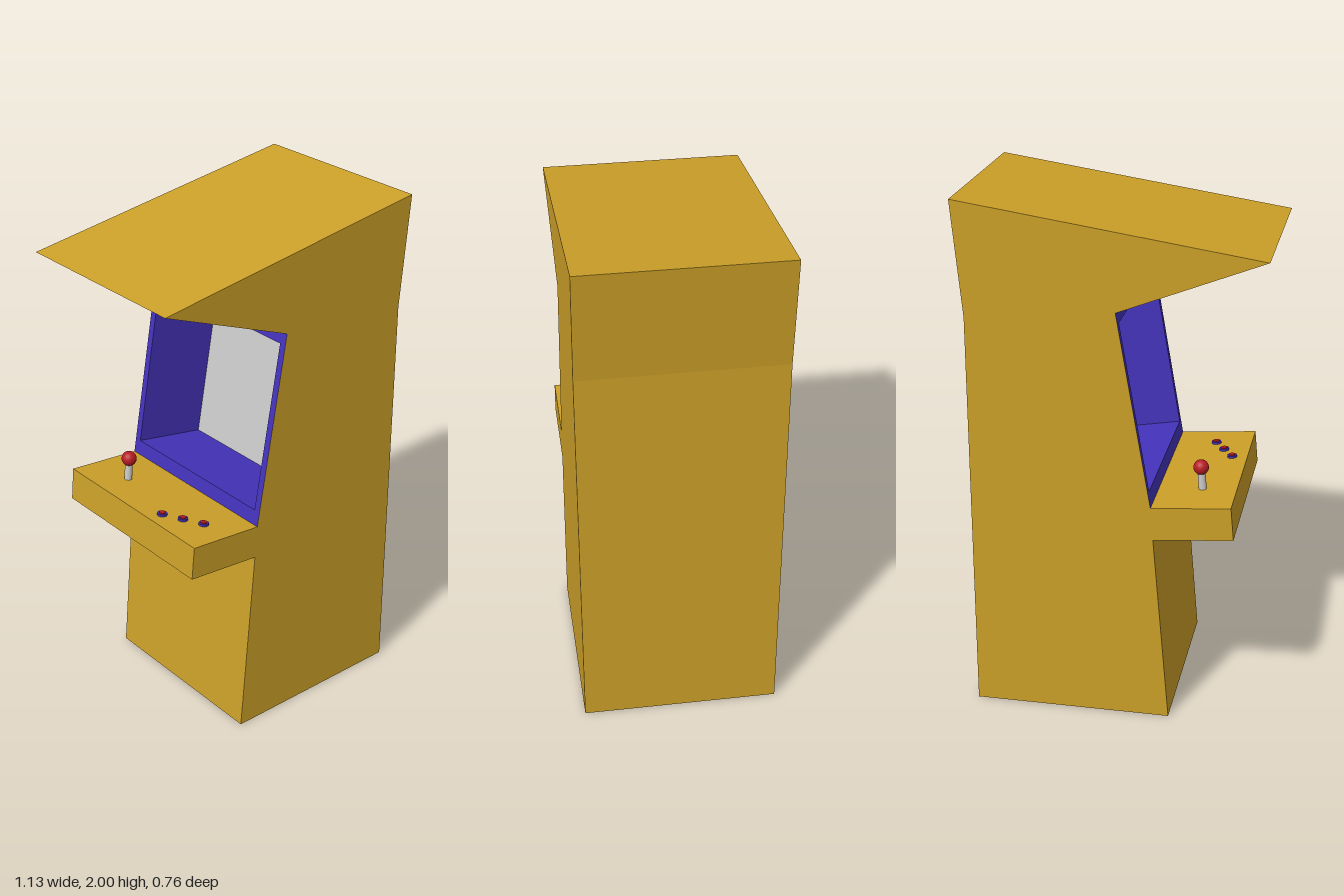
import * as THREE from 'three';

const HALF = 0.378; // half the cabinet's width along z
const material = (color) => new THREE.MeshStandardMaterial({ color, side: THREE.DoubleSide });
const ochre = material(0xcca028);
const violet = material(0x4433bb);
const grey = material(0xcccccc);
const red = material(0xb81c24);

// Side outline, from the top of the monitor face round to its bottom
const outline = [
  [-0.027, 1.62], [-0.565, 1.832], [0.565, 2], [0.526, 1.57], [0.526, 0], [-0.23, 0],
  [-0.166, 0.748], [-0.465, 0.774], [-0.453, 0.902], [-0.156, 0.877],
].map(([x, y]) => new THREE.Vector2(x, y));

function add(parent, name, geometry, mat, position = [0, 0, 0], rotation = [0, 0, 0]) {
  const mesh = new THREE.Mesh(geometry, mat);
  mesh.name = name;
  mesh.position.set(...position);
  mesh.rotation.set(...rotation);
  parent.add(mesh);
  return mesh;
}

// Flat panels running across the cabinet along an open outline
function wrap(points) {
  const pos = [];
  for (let i = 0; i < points.length - 1; i++) {
    const a = points[i], b = points[i + 1];
    const quad = [[a, -HALF], [a, HALF], [b, HALF], [a, -HALF], [b, HALF], [b, -HALF]];
    for (const [p, z] of quad) pos.push(p.x, p.y, z);
  }
  const geometry = new THREE.BufferGeometry();
  geometry.setAttribute('position', new THREE.Float32BufferAttribute(pos, 3));
  geometry.computeVertexNormals();
  return geometry;
}

function rectangle(PathType, x0, y0, x1, y1) {
  return new PathType([[x0, y0], [x0, y1], [x1, y1], [x1, y0]].map((p) => new THREE.Vector2(...p)));
}

export function createModel() {
  const model = new THREE.Group();
  model.name = 'arcadeCabinet';

  // Cabinet shell
  // Reverse the winding so that the panels face outwards
  add(model, 'shell', wrap([...outline].reverse()), ochre);
  const side = new THREE.ShapeGeometry(new THREE.Shape(outline));
  add(model, 'sidePanelFront', side, ochre, [0, 0, HALF]);
  const farSide = side.clone().scale(1, 1, -1);
  const index = farSide.index.array.slice().reverse();
  farSide.setIndex([...index]);
  farSide.computeVertexNormals();
  add(model, 'sidePanelBack', farSide, ochre, [0, 0, -HALF]);

  // Monitor bay, in a frame lying on the sloping face
  const base = outline[outline.length - 1];
  const slope = outline[0].clone().sub(base);
  const length = slope.length();
  slope.normalize();
  const bay = new THREE.Group();
  bay.name = 'monitorBay';
  bay.position.set(base.x, base.y, 0);
  bay.quaternion.setFromRotationMatrix(new THREE.Matrix4().makeBasis(
    new THREE.Vector3(0, 0, 1),
    new THREE.Vector3(slope.x, slope.y, 0),
    new THREE.Vector3(-slope.y, slope.x, 0),
  ));
  model.add(bay);

  const w = 0.35, low = 0.057, high = length - 0.045, depth = 0.3;
  const h = high - low, mid = (low + high) / 2;
  const bezel = rectangle(THREE.Shape, -HALF, 0, HALF, length);
  bezel.holes.push(rectangle(THREE.Path, -w, low, w, high));
  add(bay, 'bezel', new THREE.ShapeGeometry(bezel), violet);
  add(bay, 'screen', new THREE.PlaneGeometry(2 * w, h), grey, [0, mid, -depth]);
  const level = new THREE.PlaneGeometry(2 * w, depth);
  add(bay, 'bayFloor', level, violet, [0, low, -depth / 2], [-Math.PI / 2, 0, 0]);
  add(bay, 'bayCeiling', level, violet, [0, high, -depth / 2], [Math.PI / 2, 0, 0]);
  for (const s of [-1, 1]) {
    add(bay, 'bayWall', new THREE.PlaneGeometry(depth, h), violet,
      [s * w, mid, -depth / 2], [0, -s * Math.PI / 2, 0]);
  }

  // Controls, standing square to the tilted control panel
  const edge = outline[8];
  const controls = new THREE.Group();
  controls.name = 'controls';
  controls.position.set(edge.x, edge.y, 0);
  controls.rotation.z = Math.atan2(base.y - edge.y, base.x - edge.x);
  model.add(controls);

  add(controls, 'joystickShaft', new THREE.CylinderGeometry(0.015, 0.015, 0.08, 20), grey, [0.131, 0.04, -0.195]);
  add(controls, 'joystickBall', new THREE.SphereGeometry(0.029, 24, 16), red, [0.131, 0.087, -0.195]);
  for (let i = 0; i < 3; i++) {
    const x = 0.06 + i * 0.041, z = 0.112 + i * 0.072;
    add(controls, 'buttonRing', new THREE.CylinderGeometry(0.019, 0.019, 0.008, 20), violet, [x, 0.004, z]);
    add(controls, 'buttonCap', new THREE.CylinderGeometry(0.012, 0.013, 0.012, 20), red, [x, 0.006, z]);
  }
  return model;
}
